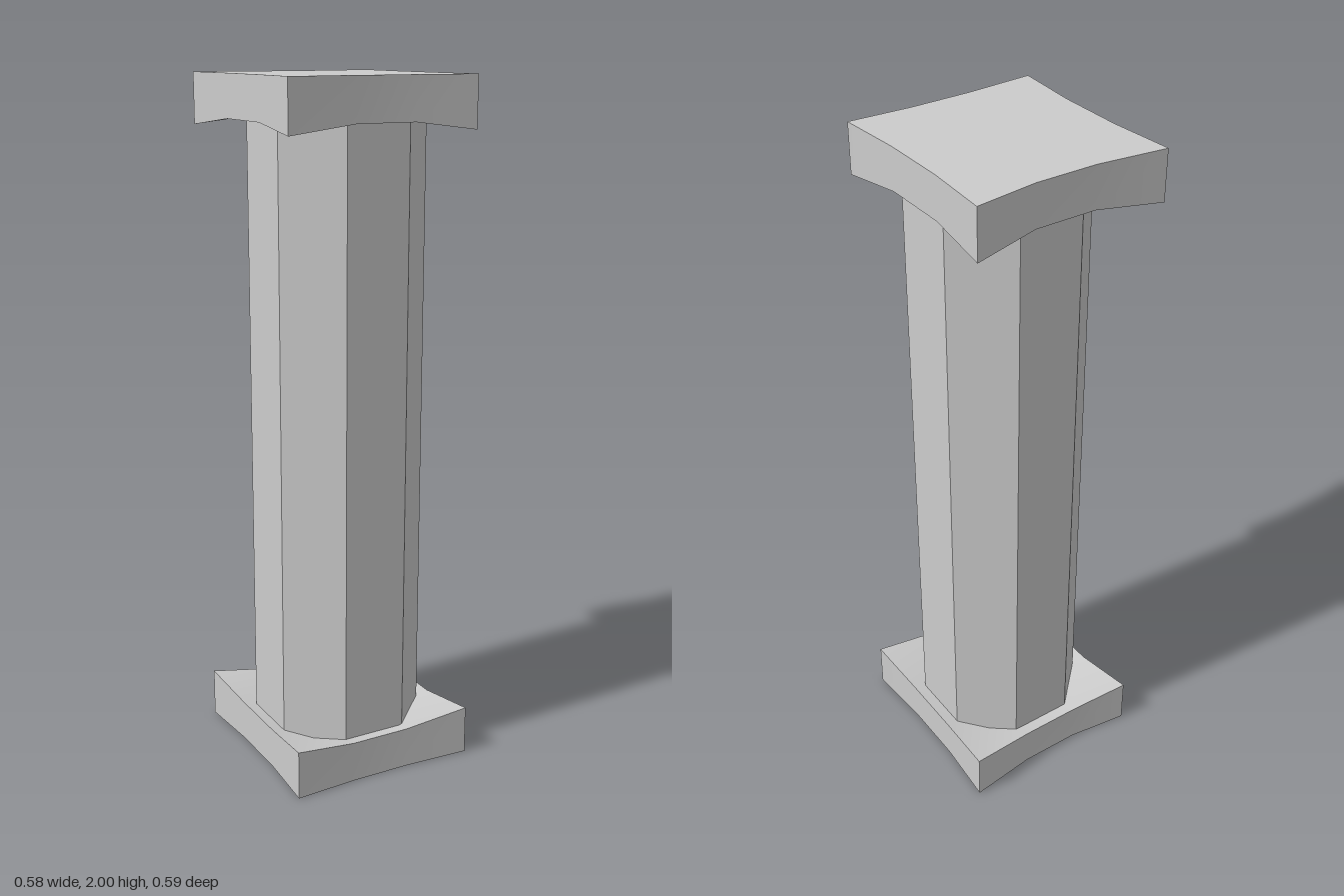
import * as THREE from 'three';

const material = new THREE.MeshStandardMaterial({ color: 0xcccccc, side: THREE.DoubleSide });
const isMid = (k) => k === 1 || k === 2;

// Plan position of a point on the 4 x 4 slab grid; the sides are pinched inwards.
function plan(i, j) {
  const x = (isMid(j) ? [-0.262, -0.1, 0.1, 0.277] : [-0.275, -0.09, 0.09, 0.291])[i];
  const z = (isMid(i) ? [-0.272, -0.1, 0.1, 0.285] : [-0.297, -0.1, 0.1, 0.296])[j];
  return [x, z];
}

// Height of the dished face: highest at the corners, lowest in the middle.
function dish(i, j) {
  if (isMid(i) && isMid(j)) return 0.075;
  return isMid(i) || isMid(j) ? 0.121 : 0.145;
}

// Smooth patch from a grid of points, with an optional test for cells left open.
function patch(name, nu, nv, point, skip = () => false) {
  const positions = [];
  const index = [];
  for (let v = 0; v < nv; v++) for (let u = 0; u < nu; u++) positions.push(...point(u, v));
  for (let v = 0; v < nv - 1; v++) {
    for (let u = 0; u < nu - 1; u++) {
      if (skip(u, v)) continue;
      const a = v * nu + u;
      index.push(a, a + nu, a + 1, a + 1, a + nu, a + nu + 1);
    }
  }
  const geometry = new THREE.BufferGeometry();
  geometry.setAttribute('position', new THREE.Float32BufferAttribute(positions, 3));
  geometry.setIndex(index);
  geometry.computeVertexNormals();
  const mesh = new THREE.Mesh(geometry, material);
  mesh.name = name;
  return mesh;
}

// Pinched slab with its dished face up; the flat face is optional.
function slab(name, closed) {
  const group = new THREE.Group();
  group.name = name;

  // Dished face with a square opening inside the shaft
  group.add(patch('dishedFace', 4, 4, (u, v) => {
    const [x, z] = plan(u, v);
    return [x, dish(u, v), z];
  }, (u, v) => u === 1 && v === 1));

  // Four side walls, each running left to right as seen from outside
  const sides = {
    frontWall: (k) => [k, 3],
    rightWall: (k) => [3, 3 - k],
    backWall: (k) => [3 - k, 0],
    leftWall: (k) => [0, k],
  };
  for (const [wallName, cell] of Object.entries(sides)) {
    group.add(patch(wallName, 4, 2, (u, v) => {
      const [i, j] = cell(u);
      const [x, z] = plan(i, j);
      return [x, v === 0 ? dish(i, j) : 0, z];
    }));
  }

  // Flat face, turned away from the dished one
  if (closed) {
    group.add(patch('flatFace', 4, 4, (u, v) => {
      const [x, z] = plan(3 - u, v);
      return [x, 0, z];
    }));
  }
  return group;
}

export function createModel() {
  const model = new THREE.Group();
  model.name = 'column';

  // Hollow eight-sided shaft with flat faces to the front and sides
  const apothem = 0.231;
  const shaftGeometry = new THREE.CylinderGeometry(
    apothem / Math.cos(Math.PI / 8), apothem / Math.cos(Math.PI / 8), 1.998, 8, 1, true, Math.PI / 8);
  const shaftMaterial = material.clone();
  shaftMaterial.flatShading = true;
  const shaft = new THREE.Mesh(shaftGeometry, shaftMaterial);
  shaft.name = 'shaft';
  shaft.position.set(0.008, 0.999, 0.003);
  model.add(shaft);

  // Open base, and the same slab turned over as the capital
  model.add(slab('base', false));
  const capital = slab('capital', true);
  capital.rotation.z = Math.PI;
  capital.position.y = 2;
  model.add(capital);

  return model;
}
